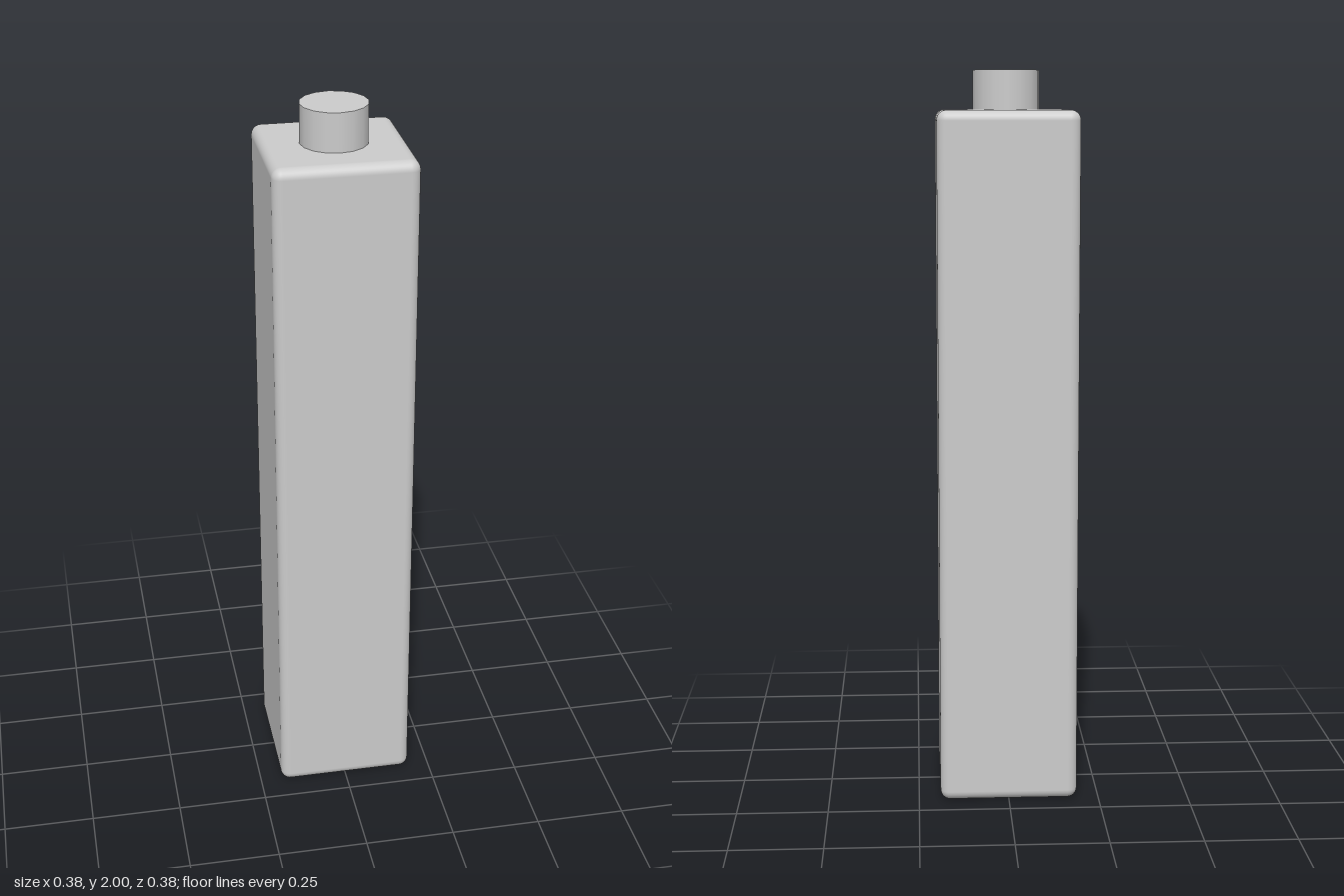
import * as THREE from 'three';
import { RoundedBoxGeometry } from 'three/addons/geometries/RoundedBoxGeometry.js';

const WIDTH = 0.38, BODY_TOP = 1.895, ROUND = 0.027;
const OPENING = 0.31, DEPTH = 0.1;
const PEG_RADIUS = 0.09, PEG_TOP = 2;

const material = new THREE.MeshStandardMaterial({ color: 0xcccccc });

function addMesh(parent, name, geometry) {
  const mesh = new THREE.Mesh(geometry, material);
  mesh.name = name;
  parent.add(mesh);
  return mesh;
}

// Rounded box without the flat part of its underside
function openRoundedBox() {
  const box = new RoundedBoxGeometry(WIDTH, BODY_TOP, WIDTH, 4, ROUND);
  const source = box.index ? box.toNonIndexed() : box;
  const pos = source.attributes.position, nor = source.attributes.normal;
  const positions = [], normals = [];
  for (let i = 0; i < pos.count; i += 3) {
    const corners = [i, i + 1, i + 2];
    if (corners.every((k) => nor.getY(k) < -0.999)) continue;
    for (const k of corners) {
      positions.push(pos.getX(k), pos.getY(k), pos.getZ(k));
      normals.push(nor.getX(k), nor.getY(k), nor.getZ(k));
    }
  }
  const geometry = new THREE.BufferGeometry();
  geometry.setAttribute('position', new THREE.Float32BufferAttribute(positions, 3));
  geometry.setAttribute('normal', new THREE.Float32BufferAttribute(normals, 3));
  return geometry.translate(0, BODY_TOP / 2, 0);
}

function squarePoints(size) {
  const h = size / 2;
  return [[-h, -h], [h, -h], [h, h], [-h, h]].map(([x, y]) => new THREE.Vector2(x, y));
}

export function createModel() {
  const model = new THREE.Group();
  model.name = 'squarePost';

  // Tall body with rounded edges
  addMesh(model, 'body', openRoundedBox());

  // Flat rim around the opening underneath
  const rim = new THREE.Shape(squarePoints(WIDTH - 2 * ROUND));
  rim.holes.push(new THREE.Path(squarePoints(OPENING).reverse()));
  addMesh(model, 'bottomRim', new THREE.ShapeGeometry(rim).rotateX(Math.PI / 2));

  // Square socket: four walls facing inward and a ceiling facing down
  const socket = new THREE.Group();
  socket.name = 'socket';
  model.add(socket);
  for (let i = 0; i < 4; i++) {
    const wall = new THREE.PlaneGeometry(OPENING, DEPTH);
    wall.translate(0, DEPTH / 2, -OPENING / 2).rotateY((i * Math.PI) / 2);
    addMesh(socket, 'socketWall', wall);
  }
  const ceiling = new THREE.PlaneGeometry(OPENING, OPENING).rotateX(Math.PI / 2);
  addMesh(socket, 'socketCeiling', ceiling.translate(0, DEPTH, 0));

  // Round peg on top
  const pegHeight = PEG_TOP - BODY_TOP;
  const peg = new THREE.CylinderGeometry(PEG_RADIUS, PEG_RADIUS, pegHeight, 16);
  addMesh(model, 'topPeg', peg).position.y = BODY_TOP + pegHeight / 2;

  return model;
}
